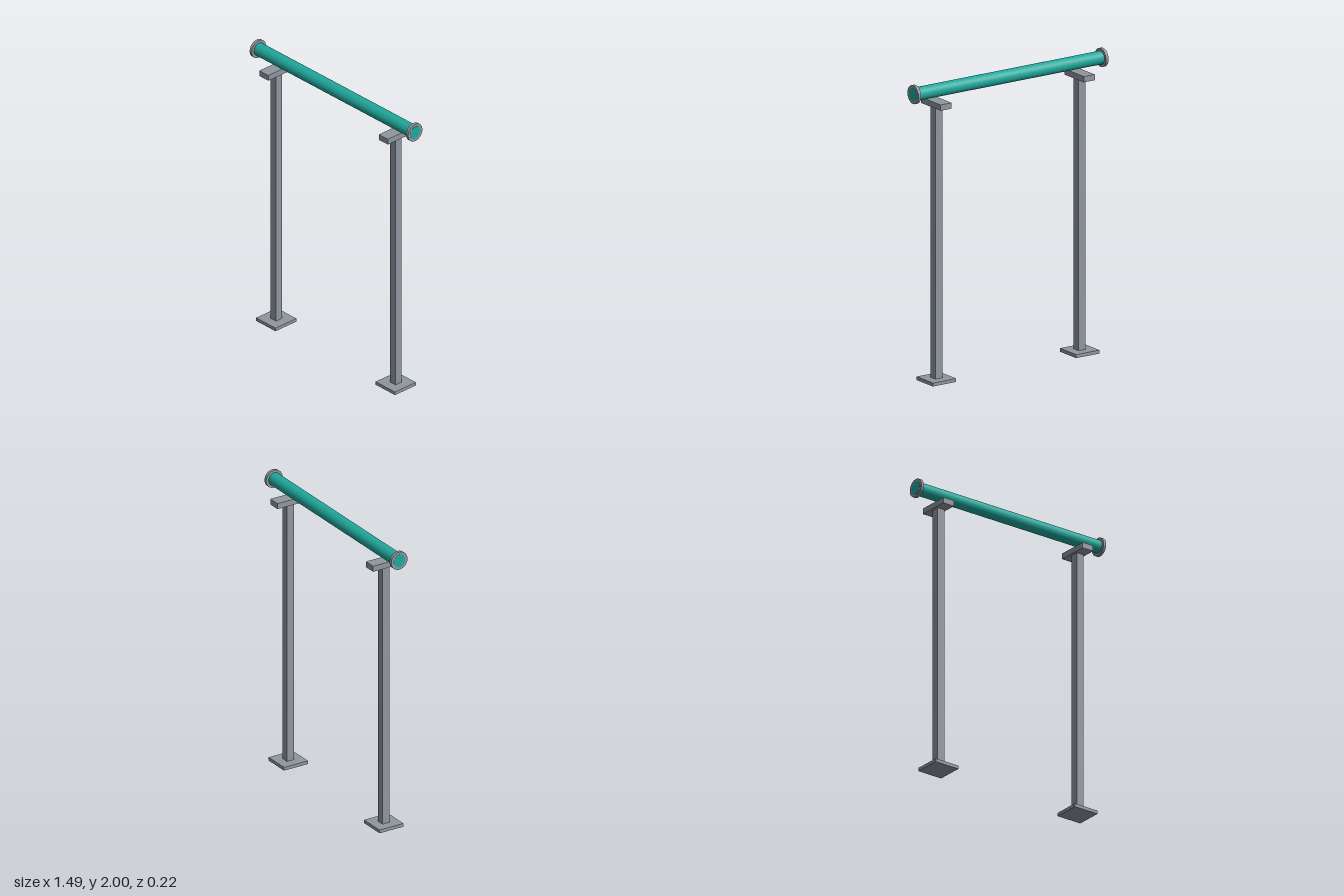
import * as THREE from 'three';

export function createModel() {
  const model = new THREE.Group();
  model.name = 'pipeOnSupports';

  const steel = new THREE.MeshStandardMaterial({ color: 0x8f969e });
  steel.name = 'steel grey';
  const teal = new THREE.MeshStandardMaterial({ color: 0x20a89c });
  teal.name = 'teal paint';

  const add = (parent, name, geometry, material, x, y) => {
    const mesh = new THREE.Mesh(geometry, material);
    mesh.name = name;
    mesh.position.set(x, y, 0);
    parent.add(mesh);
  };
  // Box standing between two heights
  const slab = (parent, name, width, depth, y0, y1) =>
    add(parent, name, new THREE.BoxGeometry(width, y1 - y0, depth), steel, 0, (y0 + y1) / 2);
  // Round bar lying along x
  const bar = (radius, length) =>
    new THREE.CylinderGeometry(radius, radius, length, 48).rotateZ(-Math.PI / 2);

  const pipeY = 1.938;

  // Pipe, its painted ends just proud of the flanges
  add(model, 'pipe', bar(0.044, 1.488), teal, 0, pipeY);

  for (const side of [-1, 1]) {
    const label = side > 0 ? 'left' : 'right';

    // End flange
    add(model, label + 'Flange', bar(0.062, 0.02), steel, side * 0.733, pipeY);

    // Support: foot plate, post and cross head under the pipe
    const support = new THREE.Group();
    support.name = label + 'Support';
    support.position.x = side * 0.56;
    slab(support, 'footPlate', 0.182, 0.182, 0, 0.023);
    slab(support, 'post', 0.054, 0.054, 0.023, 1.833);
    slab(support, 'crossHead', 0.085, 0.217, 1.833, 1.872);
    model.add(support);
  }
  return model;
}
